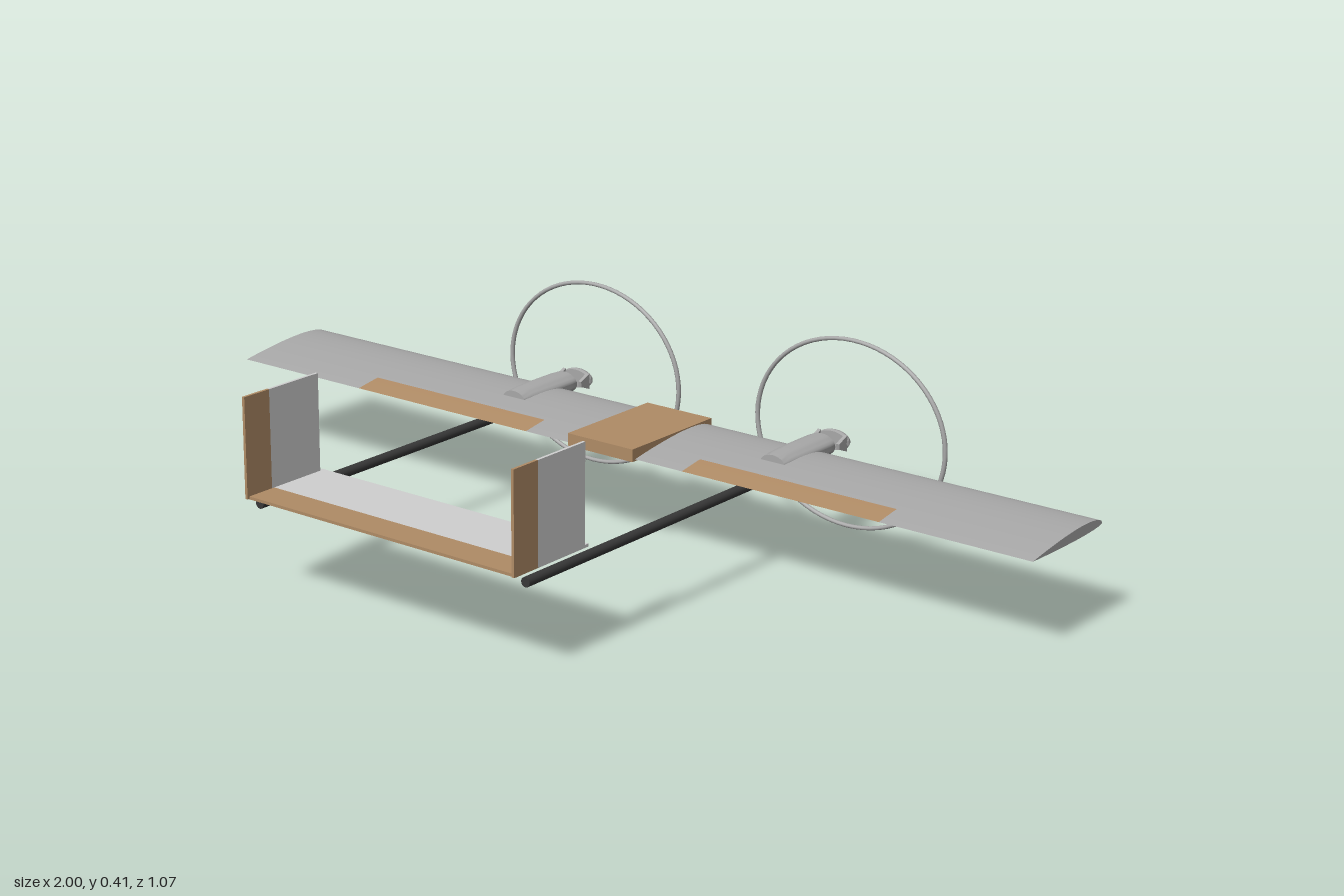
import * as THREE from 'three';
import { toCreasedNormals } from 'three/addons/utils/BufferGeometryUtils.js';

const mat = (name, color) => new THREE.MeshStandardMaterial({ name, color });

export function createModel() {
  const model = new THREE.Group();
  model.name = 'twinBoomAircraft';
  const grey = mat('wingGrey', 0xa8a8a8);
  const light = mat('tailLightGrey', 0xd0d0d0);
  const brown = mat('controlBrown', 0xb08c66);
  const dark = mat('boomBlack', 0x383838);

  const add = (name, geometry, material, parent = model) => {
    const mesh = new THREE.Mesh(geometry, material);
    mesh.name = name;
    parent.add(mesh);
    return mesh;
  };
  const box = (name, material, [x0, x1], [y0, y1], [z0, z1], parent = model) => {
    const m = add(name, new THREE.BoxGeometry(x1 - x0, y1 - y0, z1 - z0), material, parent);
    m.position.set((x0 + x1) / 2, (y0 + y1) / 2, (z0 + z1) / 2);
    return m;
  };
  // Extrudes a (z, y) outline across the span from x0 to x1
  const extrudeX = (points, x0, x1) => {
    const shape = new THREE.Shape(points.map(([z, y]) => new THREE.Vector2(z, y)));
    const g = new THREE.ExtrudeGeometry(shape, { depth: x1 - x0, bevelEnabled: false });
    g.rotateY(-Math.PI / 2).translate(x1, 0, 0);
    return toCreasedNormals(g, 0.6);
  };

  // Wing section: cambered, nose towards -z
  const NOSE = -0.388, CHORD = 0.248, HINGE = 0.758;
  const wingPoint = (t, side) => {
    const th = (0.2969 * Math.sqrt(t) - 0.126 * t - 0.3516 * t * t + 0.2843 * t ** 3 - 0.1036 * t ** 4) * 10;
    const y = 0.206 - 0.006 * t + (side > 0 ? 0.016 : -0.006) * th;
    return [NOSE + CHORD * t, y];
  };
  const slice = (t0, t1, steps = 14) => {
    const top = [], bottom = [];
    for (let i = 0; i <= steps; i++) {
      const s = i / steps;
      const t = t0 + (t1 - t0) * (t0 === 0 ? s * s : s);
      top.push(wingPoint(t, 1));
      if (t > 0) bottom.push(wingPoint(t, -1));
    }
    return [...bottom, ...top.reverse()];
  };
  add('wingFront', extrudeX(slice(0, HINGE), -1, 1), grey);
  for (const [x0, x1, flap] of [[-1, -0.665], [-0.665, -0.2, true], [-0.2, 0.2], [0.2, 0.665, true], [0.665, 1]])
    add(flap ? 'aileron' : 'wingRear', extrudeX(slice(HINGE, 1, 4), x0, x1), flap ? brown : grey);

  // Centre pod
  box('centrePod', brown, [-0.083, 0.083], [0.196, 0.2225], [-0.395, -0.132]);

  // Horizontal tail with elevator
  box('stabiliser', light, [-0.335, 0.335], [0.206, 0.212], [0.322, 0.462]);
  box('elevator', brown, [-0.335, 0.335], [0.206, 0.212], [0.462, 0.53]);

  for (const side of [-1, 1]) {
    const unit = new THREE.Group();
    unit.name = side > 0 ? 'leftBoomUnit' : 'rightBoomUnit';
    unit.position.x = side * 0.333;
    model.add(unit);

    // Tail boom
    const boom = add('boom', new THREE.CylinderGeometry(0.01, 0.01, 0.77, 16).rotateX(Math.PI / 2), dark, unit);
    boom.position.set(0, 0.188, 0.115);

    // Fin and rudder
    box('fin', light, [-0.003, 0.003], [0.207, 0.412], [0.333, 0.468], unit);
    box('rudder', brown, [-0.003, 0.003], [0.207, 0.412], [0.468, 0.535], unit);

    // Engine pod: flattened barrel, lathe axis turned to point at -z
    const lathe = (pts) => toCreasedNormals(
      new THREE.LatheGeometry(pts.map(([r, l]) => new THREE.Vector2(r, l)), 28).rotateX(-Math.PI / 2), 0.6);
    const pod = add('enginePod', lathe([[0, 0.26], [0.03, 0.26], [0.033, 0.285], [0.0355, 0.34], [0.0355, 0.41],
      [0.034, 0.429], [0, 0.429]]), grey, unit);
    pod.scale.y = 0.66;
    pod.position.y = 0.211;

    // Propeller hub with two tapered side arms
    const hub = add('propellerHub', lathe([[0, 0.466], [0.036, 0.466], [0.039, 0.473], [0.036, 0.48],
      [0.027, 0.482], [0.025, 0.49], [0, 0.491]]), grey, unit);
    hub.scale.y = 0.55;
    hub.position.y = 0.209;
    for (const s of [-1, 1]) {
      const x = s * 0.032;
      add('hubArm', extrudeX([[-0.468, 0.192], [-0.442, 0.202], [-0.44, 0.214], [-0.468, 0.226]],
        x - 0.004, x + 0.004), grey, unit);
    }

    // Propeller disc outline
    const ring = add('propellerRing', new THREE.TorusGeometry(0.23, 0.005, 10, 72), grey, unit);
    ring.scale.y = 0.862;
    ring.position.set(0, 0.207, -0.529);
  }
  return model;
}
